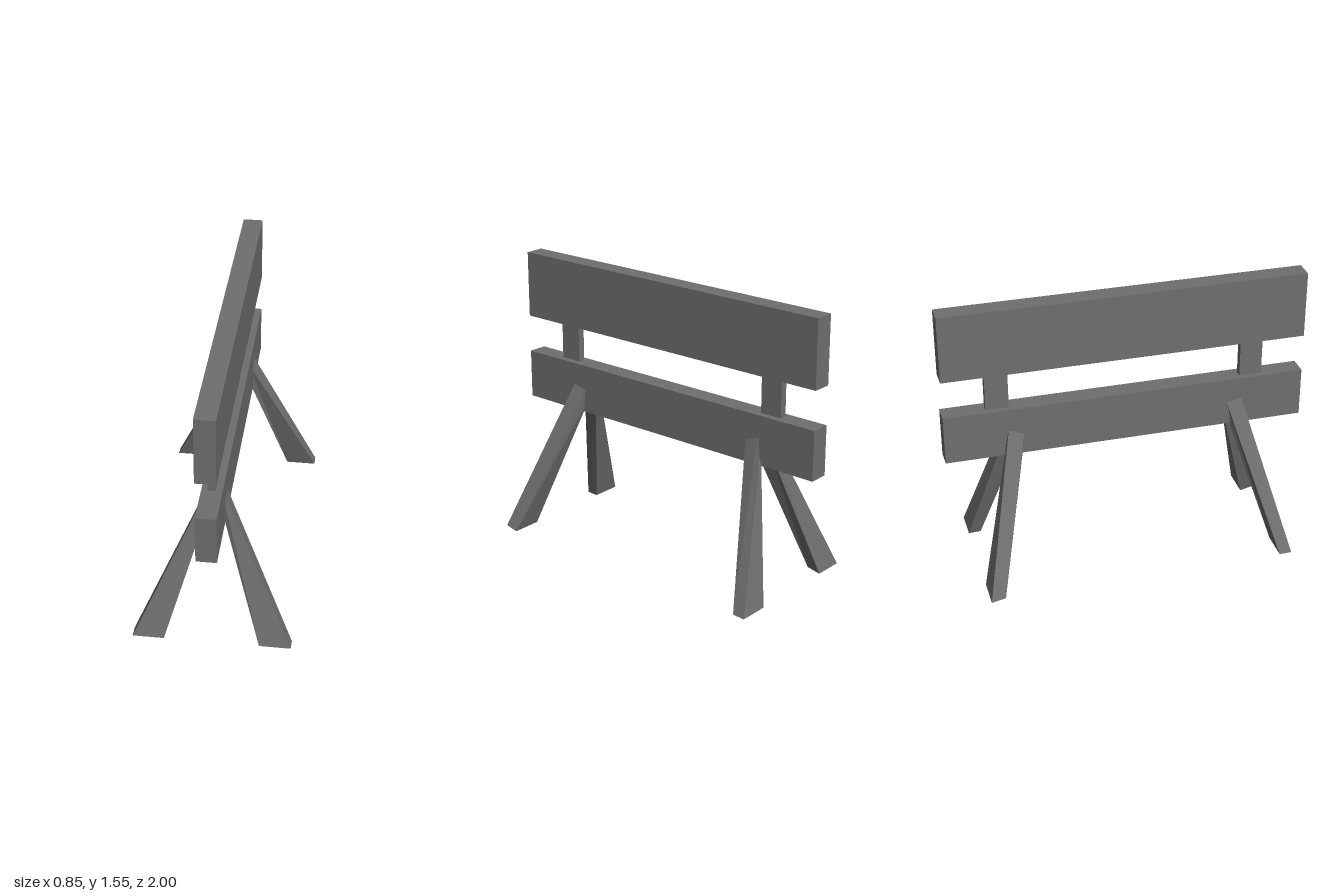
import * as THREE from 'three';

const material = new THREE.MeshStandardMaterial({ color: 0x6f6f6f, flatShading: true });

function block(name, w, h, d, x, y, z) {
  const mesh = new THREE.Mesh(new THREE.BoxGeometry(w, h, d), material);
  mesh.name = name;
  mesh.position.set(x, y, z);
  return mesh;
}

// Splayed leg, wide at the foot and tapering into the lower beam.
// sx, sz: quadrant; footX: reach of the foot; footEnd, footMid: [height, z] of the foot's
// edges facing the beam end / middle; topMid: how far the middle edge sits lower at the top
function leg(name, sx, sz, footX, footEnd, footMid, topMid) {
  const geometry = new THREE.BoxGeometry(1, 1, 1);
  const p = geometry.attributes.position;
  for (let i = 0; i < p.count; i++) {
    const outer = p.getX(i) * sx > 0;
    const end = p.getZ(i) * sz > 0;
    if (p.getY(i) > 0) {
      const y = (outer ? 0.912 : 0.797) - (end ? 0 : topMid);
      const z = (outer ? 0.55 : 0.563) + (end ? 0.084 : 0);
      p.setXYZ(i, sx * 0.02, y, sz * z);
    } else {
      const [y, z] = end ? footEnd : footMid;
      p.setXYZ(i, sx * (outer ? footX : footX - 0.168), y, sz * z);
    }
  }
  geometry.computeVertexNormals();
  const mesh = new THREE.Mesh(geometry, material);
  mesh.name = name;
  mesh.position.x = -0.003;
  return mesh;
}

export function createModel() {
  const model = new THREE.Group();
  model.name = 'trestle';

  // Two long beams
  model.add(block('lowerBeam', 0.108, 0.275, 2, -0.003, 0.822, 0));
  model.add(block('upperBeam', 0.108, 0.374, 2, -0.003, 1.359, 0));

  // Posts between the beams
  model.add(block('frontPost', 0.04, 0.235, 0.126, -0.005, 1.067, 0.711));
  model.add(block('backPost', 0.04, 0.235, 0.126, -0.005, 1.067, -0.704));

  // Four legs, with slightly uneven feet
  model.add(leg('frontLeftLeg', 1, 1, 0.424, [0.018, 0.866], [0.002, 0.79], 0.022));
  model.add(leg('frontRightLeg', -1, 1, 0.422, [0.006, 0.857], [0.004, 0.788], 0.022));
  model.add(leg('backLeftLeg', 1, -1, 0.417, [0, 0.857], [0.004, 0.788], 0.035));
  model.add(leg('backRightLeg', -1, -1, 0.425, [0.002, 0.855], [0.018, 0.777], 0.035));

  return model;
}
